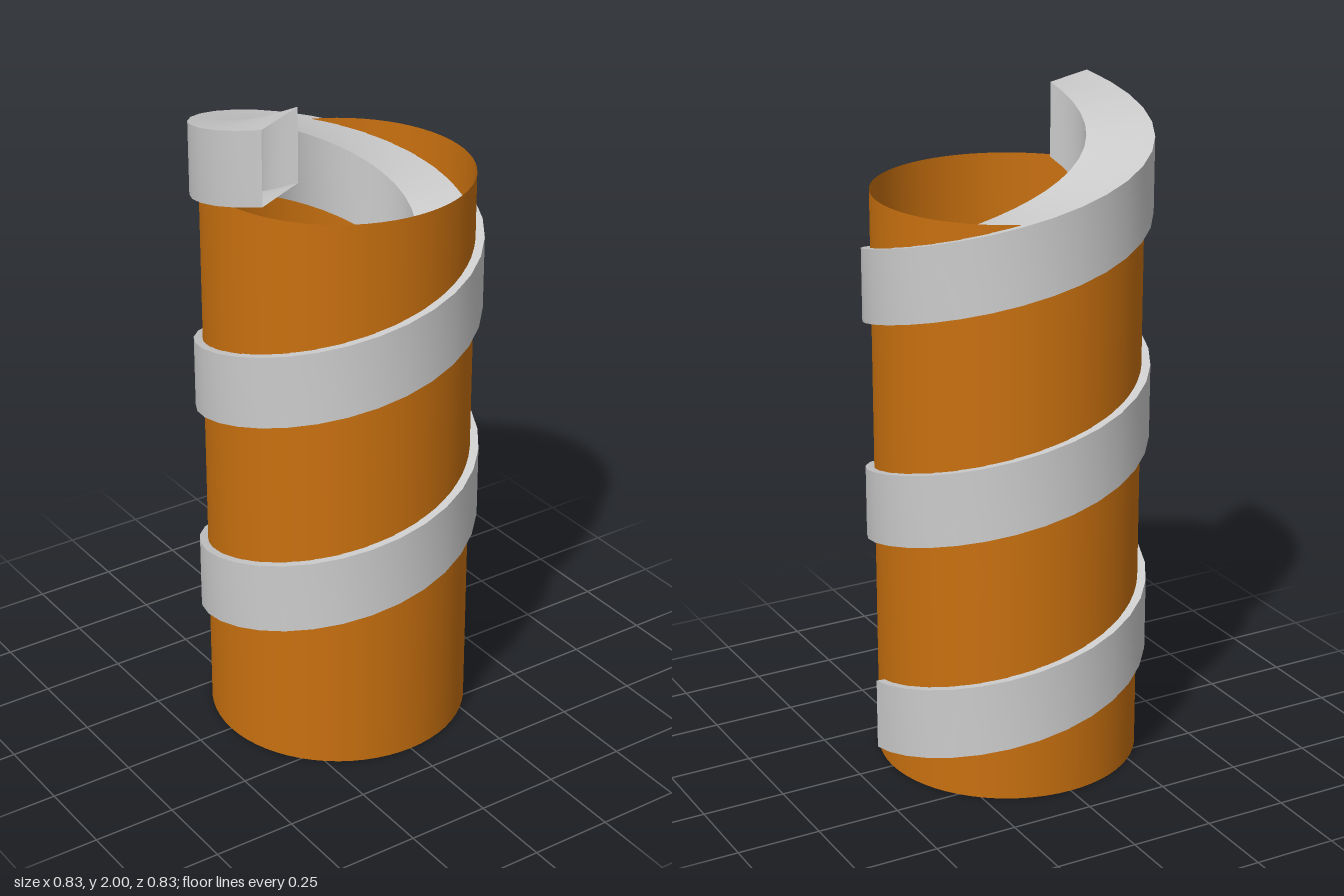
import * as THREE from 'three';

const START = -0.133, END = 16.18; // sweep angles of the spiral
const Y0 = 0.045, Y1 = 1.78, BAND = 0.22; // underside heights and band height
const R_IN = 0.223, R_OUT = 0.416;
const SEGMENTS = 80;

// Helical ribbon swept between two section corners [radius, height offset]
function ribbon(a, b) {
  const pos = [], index = [];
  for (let i = 0; i <= SEGMENTS; i++) {
    const t = i / SEGMENTS;
    const angle = START + (END - START) * t;
    const y = Y0 + (Y1 - Y0) * t;
    for (const [r, h] of [a, b]) {
      pos.push(r * Math.cos(angle), y + h, -r * Math.sin(angle));
    }
    if (i < SEGMENTS) {
      const k = 2 * i;
      index.push(k, k + 2, k + 1, k + 1, k + 2, k + 3);
    }
  }
  const geometry = new THREE.BufferGeometry();
  geometry.setAttribute('position', new THREE.Float32BufferAttribute(pos, 3));
  geometry.setIndex(index);
  geometry.computeVertexNormals();
  return geometry;
}

export function createModel() {
  const model = new THREE.Group();
  const orange = new THREE.MeshStandardMaterial({ color: 0xc8700f, side: THREE.DoubleSide });
  const grey = new THREE.MeshStandardMaterial({ color: 0xcccccc, side: THREE.DoubleSide });

  // Open-ended pipe
  const pipe = new THREE.Mesh(new THREE.CylinderGeometry(0.39, 0.39, 1.74, 64, 1, true), orange);
  pipe.name = 'pipe';
  pipe.position.y = 0.87;
  model.add(pipe);

  // Hollow rectangular duct with open ends, winding through the pipe wall
  const spiral = new THREE.Group();
  spiral.name = 'spiralDuct';
  const corners = [[R_OUT, 0], [R_OUT, BAND], [R_IN, BAND], [R_IN, 0]];
  ['outerWall', 'topWall', 'innerWall', 'bottomWall'].forEach((name, i) => {
    const wall = new THREE.Mesh(ribbon(corners[i], corners[(i + 1) % 4]), grey);
    wall.name = name;
    spiral.add(wall);
  });
  model.add(spiral);
  return model;
}
